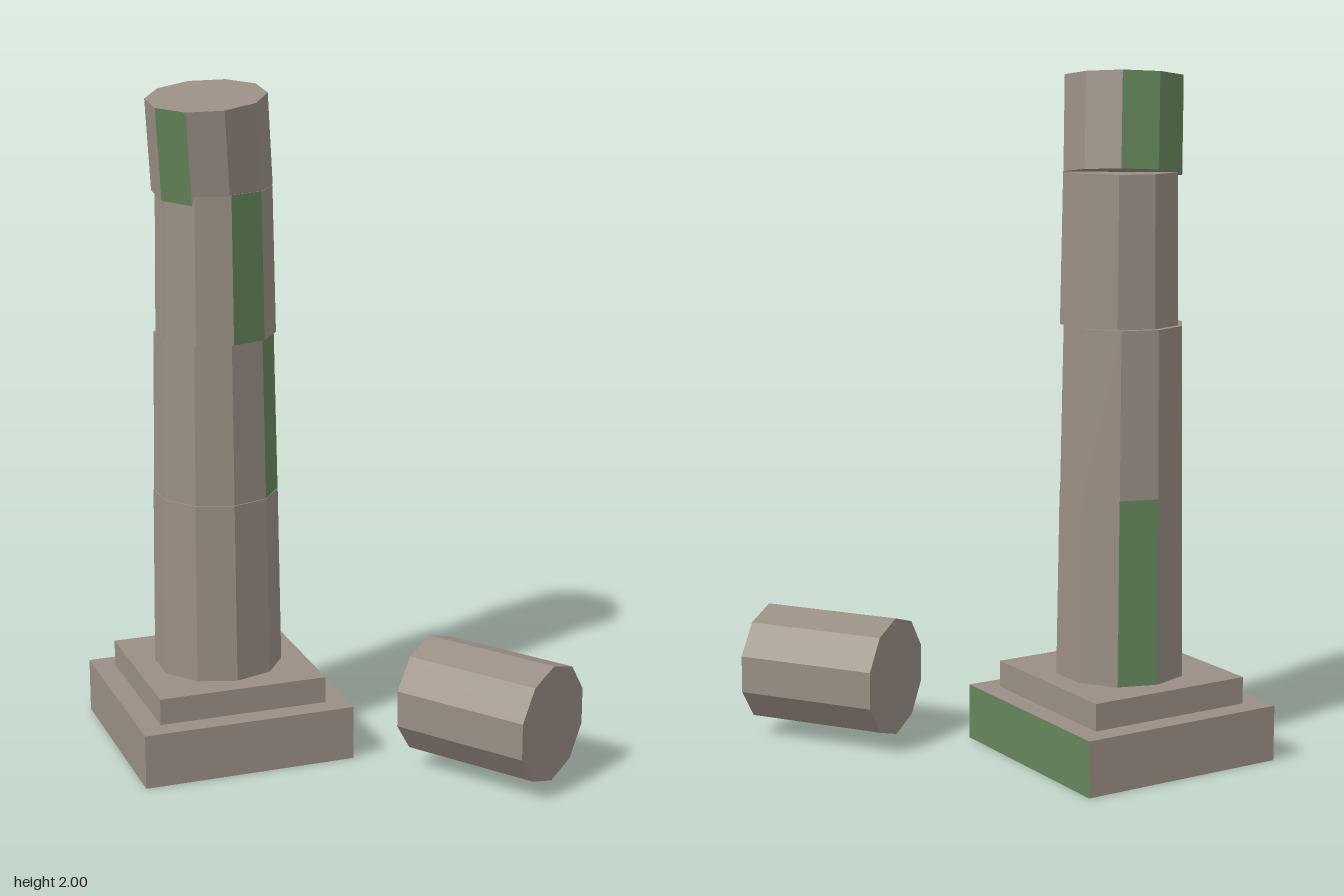
import * as THREE from 'three';

const SIDES = 10;

export function createModel() {
  const stone = new THREE.MeshStandardMaterial({ color: 0x998e84 });
  stone.name = 'stone';
  stone.flatShading = true;
  const moss = new THREE.MeshStandardMaterial({ color: 0x64855a });
  moss.name = 'moss';
  moss.flatShading = true;

  const model = new THREE.Group();
  model.name = 'ruinedColumn';

  function add(name, geometry, material, x, y, z) {
    const mesh = new THREE.Mesh(geometry, material);
    mesh.name = name;
    mesh.position.set(x, y, z);
    model.add(mesh);
    return mesh;
  }

  // Ten-sided drum; the listed side faces are mossy
  function drumGeometry(rTop, rBottom, height, mossy = []) {
    const g = new THREE.CylinderGeometry(rTop, rBottom, height, SIDES);
    g.clearGroups();
    for (let i = 0; i < SIDES; i++) g.addGroup(i * 6, 6, mossy.includes(i) ? 1 : 0);
    g.addGroup(SIDES * 6, g.index.count - SIDES * 6, 0);
    return g;
  }

  // Stepped base, with moss on the +x side of the plinth
  add('plinth', new THREE.BoxGeometry(0.647, 0.165, 0.647),
    [moss, stone, stone, stone, stone, stone], -0.303, 0.0825, -0.257);
  add('step', new THREE.BoxGeometry(0.515, 0.08, 0.515), stone, -0.303, 0.205, -0.257);

  // Standing drums, slightly out of line
  const drums = [
    { name: 'lowerDrum', y0: 0.245, y1: 0.79, r0: 0.193, r1: 0.186, x: -0.302, z: -0.256, mossy: [4] },
    { name: 'middleDrum', y0: 0.79, y1: 1.275, r0: 0.185, r1: 0.177, x: -0.3, z: -0.26, mossy: [1] },
    { name: 'upperDrum', y0: 1.275, y1: 1.71, r0: 0.177, r1: 0.17, x: -0.299, z: -0.242, mossy: [0] },
  ];
  for (const d of drums) {
    add(d.name, drumGeometry(d.r1, d.r0, d.y1 - d.y0, d.mossy), [stone, moss],
      d.x, (d.y0 + d.y1) / 2, d.z);
  }

  // Tilted top drum
  const top = add('tiltedDrum', drumGeometry(0.176, 0.176, 0.273, [4, 5, 8]), [stone, moss],
    -0.313, 1.839, -0.235);
  top.rotation.set(0.115, 0, 0.085);

  // Fallen drum lying beside the column
  const fallen = drumGeometry(0.178, 0.178, 0.429);
  fallen.rotateX(Math.PI / 2);
  add('fallenDrum', fallen, [stone, moss], 0.36, 0.208, 0.304).rotation.y = 0.599;

  return model;
}
